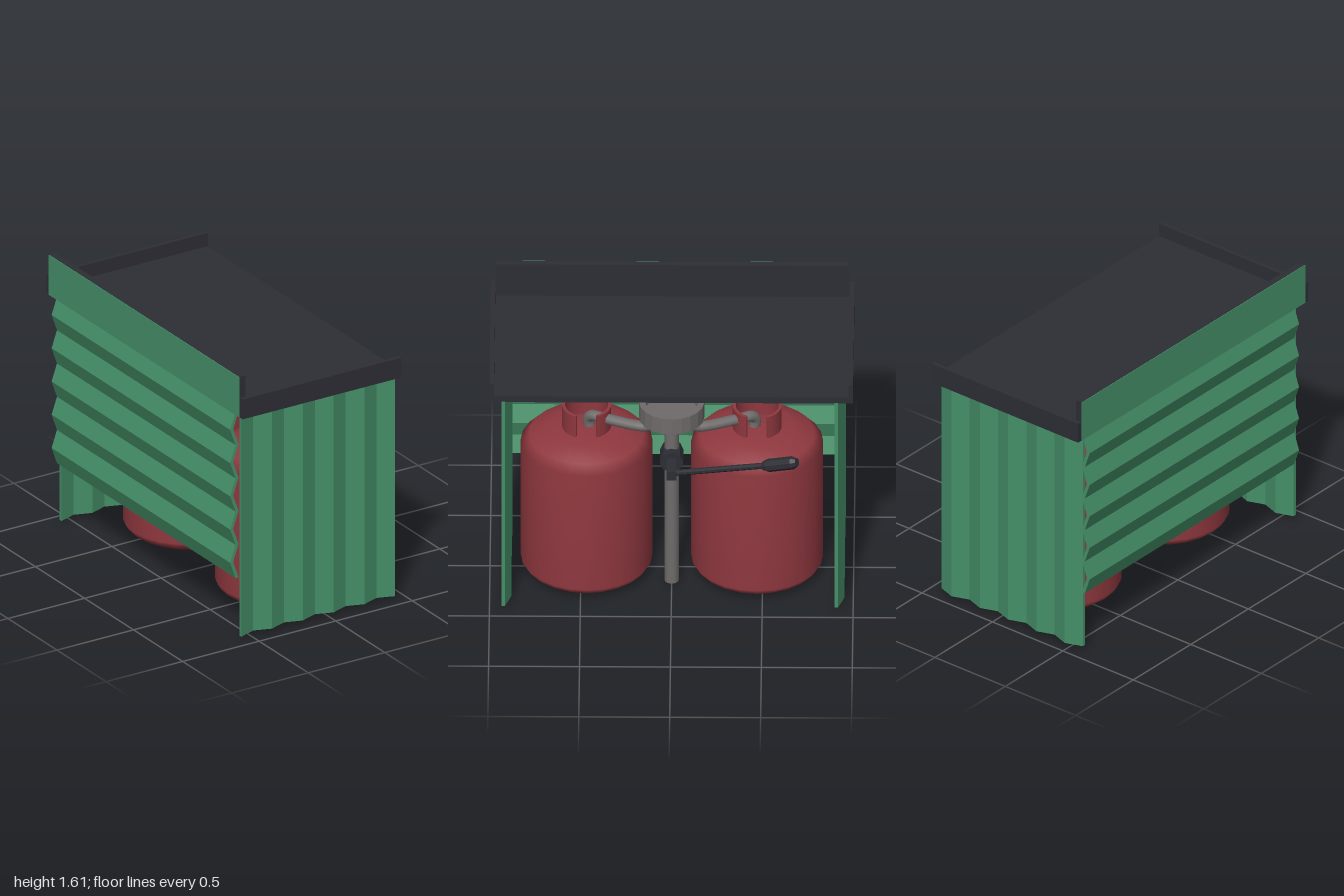
import * as THREE from 'three';

const mat = (name, color, extra = {}) => {
  const m = new THREE.MeshStandardMaterial({ color, ...extra });
  m.name = name;
  return m;
};

export function createModel() {
  const model = new THREE.Group();
  model.name = 'gasTankShelter';
  const green = mat('corrugated green', 0x458f68);
  const dark = mat('charcoal', 0x2d2d35);
  const red = mat('tank red', 0x8f383f);
  const grey = mat('pipe grey', 0x6f6b6b);

  const add = (name, geo, material, x = 0, y = 0, z = 0, parent = model) => {
    const mesh = new THREE.Mesh(geo, material);
    mesh.name = name;
    mesh.position.set(x, y, z);
    parent.add(mesh);
    return mesh;
  };
  // box given by its minimum and maximum corners
  const box = (name, material, [x0, y0, z0], [x1, y1, z1]) =>
    add(name, new THREE.BoxGeometry(x1 - x0, y1 - y0, z1 - z0), material,
      (x0 + x1) / 2, (y0 + y1) / 2, (z0 + z1) / 2);
  // cylinder between two points
  const rod = (name, material, a, b, r0, r1, sides) => {
    const dir = b.clone().sub(a);
    const geo = new THREE.CylinderGeometry(r1, r0, dir.length(), sides).toNonIndexed();
    geo.computeVertexNormals();
    const mesh = add(name, geo, material);
    mesh.position.copy(a).add(b).multiplyScalar(0.5);
    mesh.quaternion.setFromUnitVectors(new THREE.Vector3(0, 1, 0), dir.normalize());
    return mesh;
  };
  // folded sheet profile; place(u, v) maps run and fold offset to shape axes
  const foldedSheet = (start, end, depth, place) => {
    const folds = 10, amp = 0.0175, half = 0.01, top = [], bottom = [];
    for (let i = 0; i <= folds; i++) {
      const u = start + (end - start) * i / folds;
      const v = i % 2 ? -amp : amp;
      top.push(place(u, v + half));
      bottom.unshift(place(u, v - half));
    }
    return new THREE.ExtrudeGeometry(new THREE.Shape([...top, ...bottom]), { depth, bevelEnabled: false });
  };

  // corrugated walls
  const side = foldedSheet(-0.575, 0.43, 1.35, (u, v) => new THREE.Vector2(u, -v)).rotateX(-Math.PI / 2);
  add('leftWall', side, green, 0, 0.02, 0.907);
  add('rightWall', side, green, 0, 0.02, -0.925);
  const back = foldedSheet(0.365, 1.368, 1.82, (u, v) => new THREE.Vector2(v, u));
  add('rearWall', back, green, -0.598, 0, -0.92);

  // roof tray with end rims and a tall rear flange
  box('roofSlab', dark, [-0.608, 1.365, -1], [0.43, 1.405, 1]);
  for (const s of [-1, 1]) {
    add('roofRim', new THREE.BoxGeometry(1.038, 0.08, 0.025), dark, -0.089, 1.445, s * 0.9875);
  }
  box('rearFlange', dark, [-0.608, 1.405, -0.97], [-0.57, 1.61, 0.97]);
  box('rearFlangeFacing', green, [-0.612, 1.367, -0.97], [-0.608, 1.608, 0.97]);

  // gas tanks
  const tankProfile = [
    [0, 0.015], [0.31, 0.015], [0.345, 0.04], [0.363, 0.07], [0.363, 0.82],
    [0.315, 0.87], [0.2, 0.915], [0, 0.925],
  ].map(([r, y]) => new THREE.Vector2(r, y));
  const tankGeo = new THREE.LatheGeometry(tankProfile, 24);

  // guard collar, open towards the post
  const gap = 0.45;
  const collarShape = new THREE.Shape();
  collarShape.absarc(0, 0, 0.135, gap, Math.PI * 2 - gap, false);
  collarShape.absarc(0, 0, 0.118, Math.PI * 2 - gap, gap, true);
  const collarGeo = new THREE.ExtrudeGeometry(collarShape, { depth: 0.16, bevelEnabled: false, curveSegments: 20 })
    .rotateX(-Math.PI / 2);

  for (const s of [1, -1]) {
    const tank = new THREE.Group();
    tank.name = s > 0 ? 'leftTank' : 'rightTank';
    tank.position.set(-0.018, 0, s * 0.469);
    model.add(tank);
    add('tankBody', tankGeo, red, 0, 0, 0, tank);
    add('tankCollar', collarGeo, red, 0, 0.895, 0, tank);

    // feed pipe from the tank valve up to the regulator
    const p = [[-0.018, 0.9, 0.45], [-0.018, 0.965, 0.46], [0.0, 0.997, 0.44], [0.03, 1.0, 0.38],
      [0.105, 1.0, 0.19], [0.118, 1.005, 0.14], [0.13, 1.055, 0.06]]
      .map(([x, y, z]) => new THREE.Vector3(x, y, s * z));
    add('feedPipe', new THREE.TubeGeometry(new THREE.CatmullRomCurve3(p, false, 'centripetal'), 28, 0.031, 10), grey);
  }

  // post with a flared head and a shallow dish
  add('post', new THREE.CylinderGeometry(0.04, 0.04, 1.04, 14), grey, 0.13, 0.52, 0);
  add('postFlare', new THREE.CylinderGeometry(0.075, 0.04, 0.075, 14), grey, 0.13, 1.0425, 0);
  const ring = new THREE.Shape().absarc(0, 0, 0.18, 0, Math.PI * 2);
  ring.holes.push(new THREE.Path().absarc(0, 0, 0.145, 0, Math.PI * 2, true));
  add('dishRing', new THREE.ExtrudeGeometry(ring, { depth: 0.1, bevelEnabled: false, curveSegments: 10 })
    .rotateX(-Math.PI / 2), grey, 0.13, 1.075, 0);
  add('dishFloor', new THREE.CylinderGeometry(0.15, 0.15, 0.04, 20), grey, 0.13, 1.096, 0);

  // lever on the post
  const v = (x, y, z) => new THREE.Vector3(x, y, z);
  rod('leverHub', dark, v(0.08, 0.825, 0), v(0.21, 0.825, 0), 0.065, 0.065, 8);
  box('leverArm', dark, [0.2, 0.797, -0.028], [0.345, 0.853, 0.028]);
  rod('leverRod', dark, v(0.315, 0.825, 0), v(0.52, 1.015, -0.53), 0.017, 0.017, 8);
  rod('gripNeck', dark, v(0.51, 1.005, -0.505), v(0.522, 1.016, -0.535), 0.024, 0.037, 8);
  rod('grip', dark, v(0.522, 1.016, -0.535), v(0.58, 1.073, -0.67), 0.037, 0.037, 8);
  rod('gripTip', dark, v(0.58, 1.073, -0.67), v(0.59, 1.083, -0.693), 0.037, 0.024, 8);

  return model;
}
